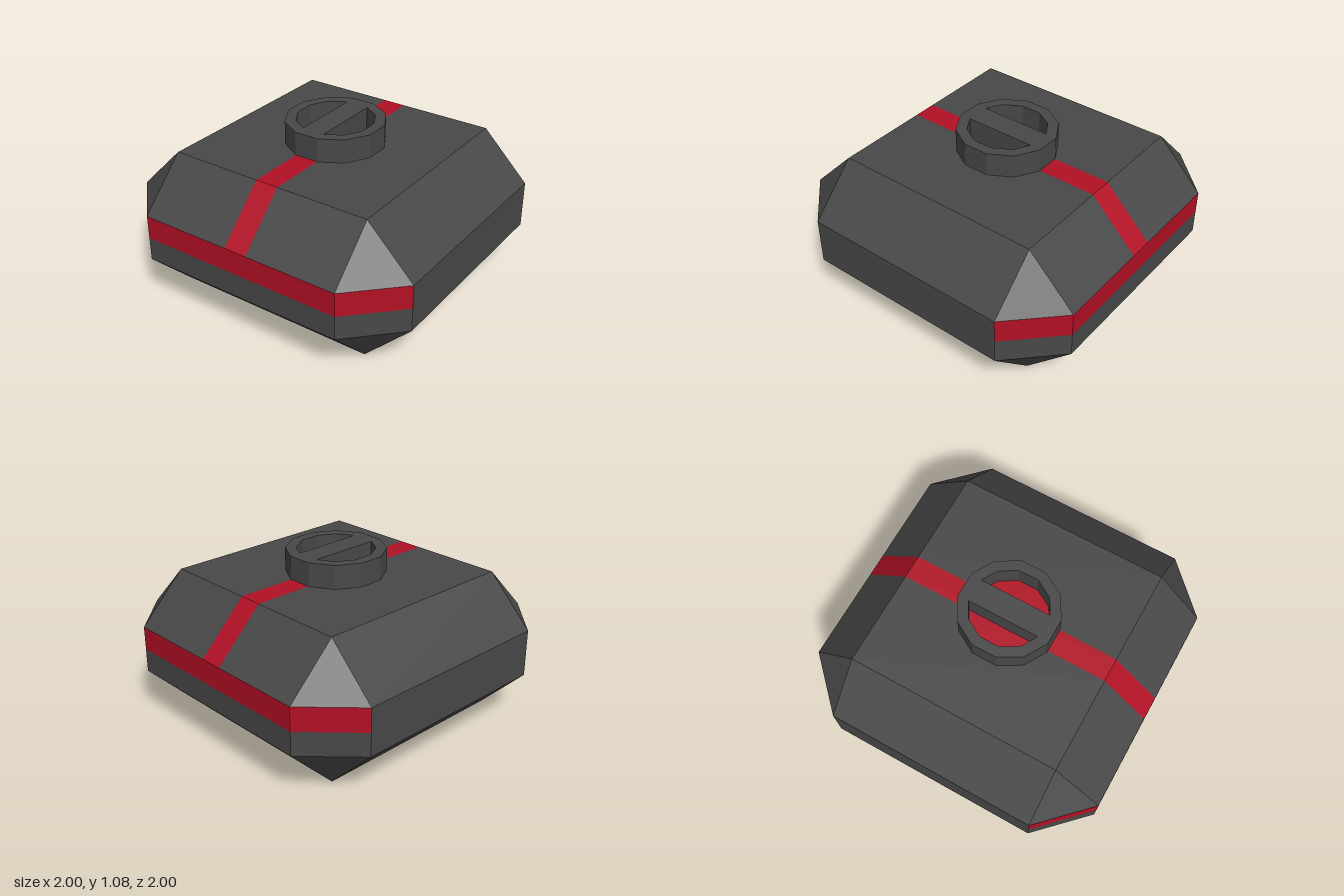
import * as THREE from 'three';

const U = 1 / 13; // module unit: the body is 26 units wide

const grey = new THREE.MeshStandardMaterial({ color: 0x484848 });
grey.name = 'dark grey';
const red = new THREE.MeshStandardMaterial({ color: 0xb21025 });
red.name = 'red';

// Flat-shaded faces collected per colour
function faceSet() {
  const pos = [];
  const tri = (a, b, c) => {
    if (a.equals(b) || b.equals(c) || c.equals(a)) return;
    for (const p of [a, b, c]) pos.push(p.x * U, p.y * U, p.z * U);
  };
  return {
    quad(a, b, c, d) { tri(a, b, c); tri(a, c, d); },
    geometry() {
      const g = new THREE.BufferGeometry();
      g.setAttribute('position', new THREE.Float32BufferAttribute(pos, 3));
      g.computeVertexNormals();
      return g;
    },
  };
}

function addMesh(parent, name, geometry, material) {
  const m = new THREE.Mesh(geometry, material);
  m.name = name;
  parent.add(m);
  return m;
}

// Chamfered box with a red band round the sides and a stripe over the top
function buildBody() {
  const body = new THREE.Group();
  body.name = 'body';
  const shell = faceSet(), stripes = faceSet();
  const V = (x, y, z) => new THREE.Vector3(x, y, z);
  const outline = [[-9, 13], [9, 13], [13, 9], [13, -9], [9, -13], [-9, -13], [-13, -9], [-13, 9]];
  const outer = (i, y) => V(outline[i % 8][0], y, outline[i % 8][1]);
  const inner = (i, y) => {
    const p = outer(i, y);
    return V(THREE.MathUtils.clamp(p.x, -9, 9), y, THREE.MathUtils.clamp(p.z, -9, 9));
  };

  for (let i = 0; i < 8; i++) {
    const j = i + 1;
    // lower slope, wall, band
    shell.quad(inner(i, 0), inner(j, 0), outer(j, 4), outer(i, 4));
    shell.quad(outer(i, 4), outer(j, 4), outer(j, 6), outer(i, 6));
    const band = i % 4 === 0 ? shell : stripes;
    band.quad(outer(i, 6), outer(j, 6), outer(j, 8), outer(i, 8));
    // upper slope, cut in three where the stripe runs down
    const cuts = i % 4 === 2 ? [0, 4 / 9, 5 / 9, 1] : [0, 1];
    for (let k = 0; k < cuts.length - 1; k++) {
      const low = t => outer(i, 8).lerp(outer(j, 8), t);
      const high = t => inner(i, 12).lerp(inner(j, 12), t);
      (k === 1 ? stripes : shell).quad(low(cuts[k]), low(cuts[k + 1]), high(cuts[k + 1]), high(cuts[k]));
    }
  }
  // top in three strips, and the underside
  const zs = [-9, -1, 1, 9];
  for (let k = 0; k < 3; k++) {
    const [z0, z1] = [zs[k], zs[k + 1]];
    (k === 1 ? stripes : shell).quad(V(-9, 12, z1), V(9, 12, z1), V(9, 12, z0), V(-9, 12, z0));
  }
  shell.quad(V(-9, 0, -9), V(9, 0, -9), V(9, 0, 9), V(-9, 0, 9));

  addMesh(body, 'bodyShell', shell.geometry(), grey);
  addMesh(body, 'bodyStripes', stripes.geometry(), red);
  return body;
}

// Twelve-sided knob with two pockets either side of a grip bar
function buildKnob() {
  const knob = new THREE.Group();
  knob.name = 'knob';
  const point = (r, deg) => {
    const a = THREE.MathUtils.degToRad(deg);
    return new THREE.Vector2(r * Math.cos(a), r * Math.sin(a));
  };
  const rim = [];
  for (let k = 0; k < 12; k++) rim.push(point(0.3185, 15 + 30 * k));
  const shape = new THREE.Shape(rim);
  for (const side of [1, -1]) {
    const pocket = [new THREE.Vector2(0.234, U)];
    for (const deg of [45, 75, 105, 135]) pocket.push(point(0.25, deg));
    pocket.push(new THREE.Vector2(-0.234, U));
    shape.holes.push(new THREE.Path(pocket.map(p => new THREE.Vector2(p.x, p.y * side))));
  }
  const ring = new THREE.ExtrudeGeometry(shape, { depth: 2 * U, bevelEnabled: false });
  ring.rotateX(-Math.PI / 2).translate(0, 12 * U, 0);
  addMesh(knob, 'knobRing', ring, grey);

  const floor = new THREE.CircleGeometry(0.27, 12);
  floor.rotateX(-Math.PI / 2).translate(0, 12 * U + 0.003, 0);
  addMesh(knob, 'pocketFloor', floor, red);
  return knob;
}

export function createModel() {
  const model = new THREE.Group();
  model.name = 'canister';
  model.add(buildBody(), buildKnob());

  // Painted bar and square on the underside
  for (const [name, x, length] of [['undersideBar', 3, 8], ['undersideSquare', -4, 2]]) {
    const plate = addMesh(model, name, new THREE.BoxGeometry(length * U, 0.004, 2 * U), red);
    plate.position.set(x * U, -0.001, 0);
  }
  return model;
}
